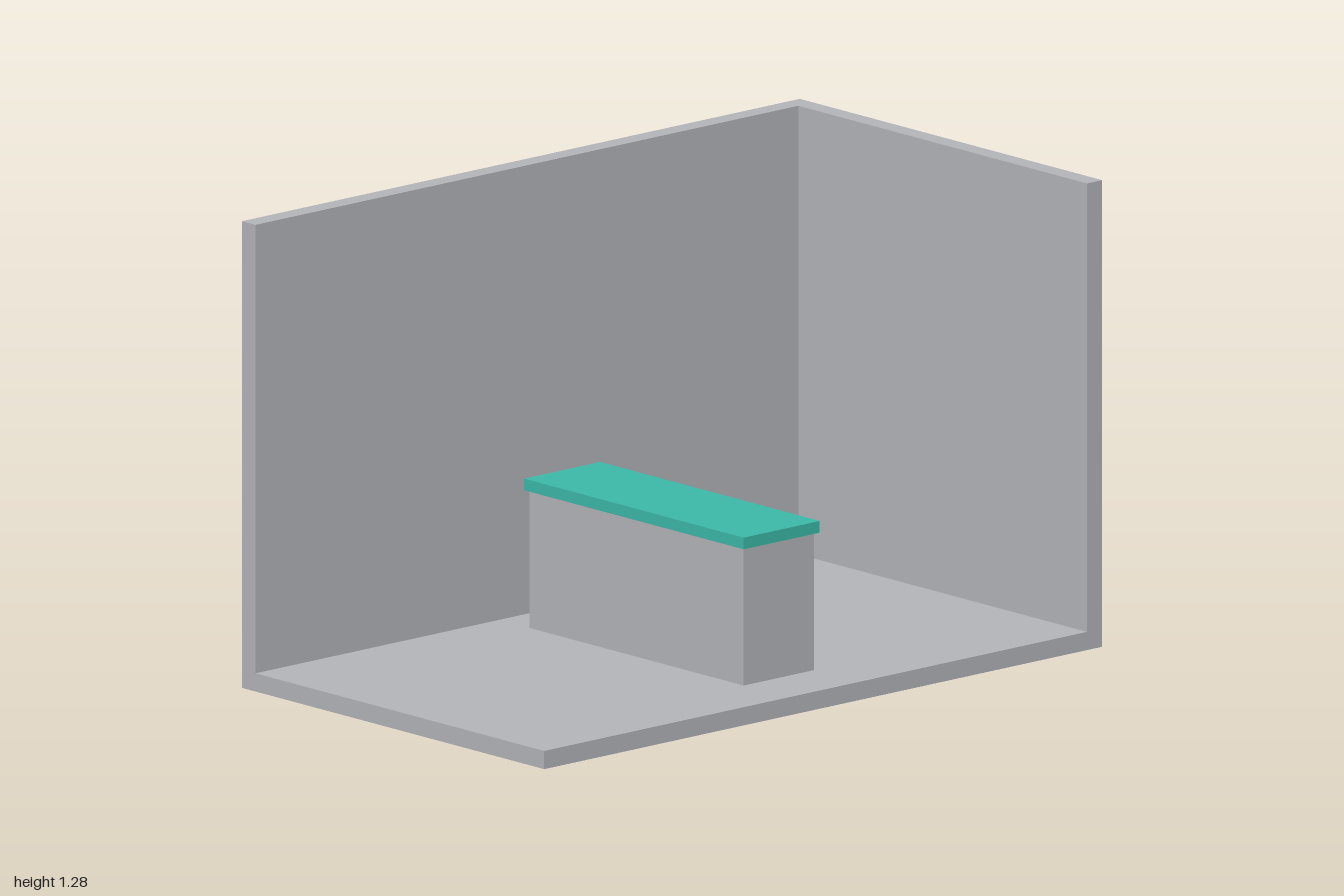
import * as THREE from 'three';

export function createModel() {
  const model = new THREE.Group();
  model.name = 'roomWithCounter';

  const grey = new THREE.MeshStandardMaterial({ color: 0xb6b7bb });
  grey.name = 'plaster grey';
  const teal = new THREE.MeshStandardMaterial({ color: 0x3dbbab });
  teal.name = 'counter teal';

  // Box spanning two corners
  function block(name, material, [x0, y0, z0], [x1, y1, z1]) {
    const mesh = new THREE.Mesh(new THREE.BoxGeometry(x1 - x0, y1 - y0, z1 - z0), material);
    mesh.position.set((x0 + x1) / 2, (y0 + y1) / 2, (z0 + z1) / 2);
    mesh.name = name;
    model.add(mesh);
  }

  const w = 0.6, d = 1, h = 1.28; // half width, half depth, height
  const wall = 0.054, floor = 0.05;

  // Room shell, open at the front and at +x
  block('floor', grey, [-w, 0, -d], [w, floor, d]);
  block('sideWall', grey, [-w, floor, -d], [-w + wall, h, d]);
  block('backWall', grey, [-w + wall, floor, -d], [w, h, -d + wall]);

  // Counter with an overhanging top
  block('counterBase', grey, [-0.427, floor, -0.126], [0.424, 0.427, 0.126]);
  block('counterTop', teal, [-0.438, 0.427, -0.137], [0.434, 0.459, 0.135]);

  return model;
}
